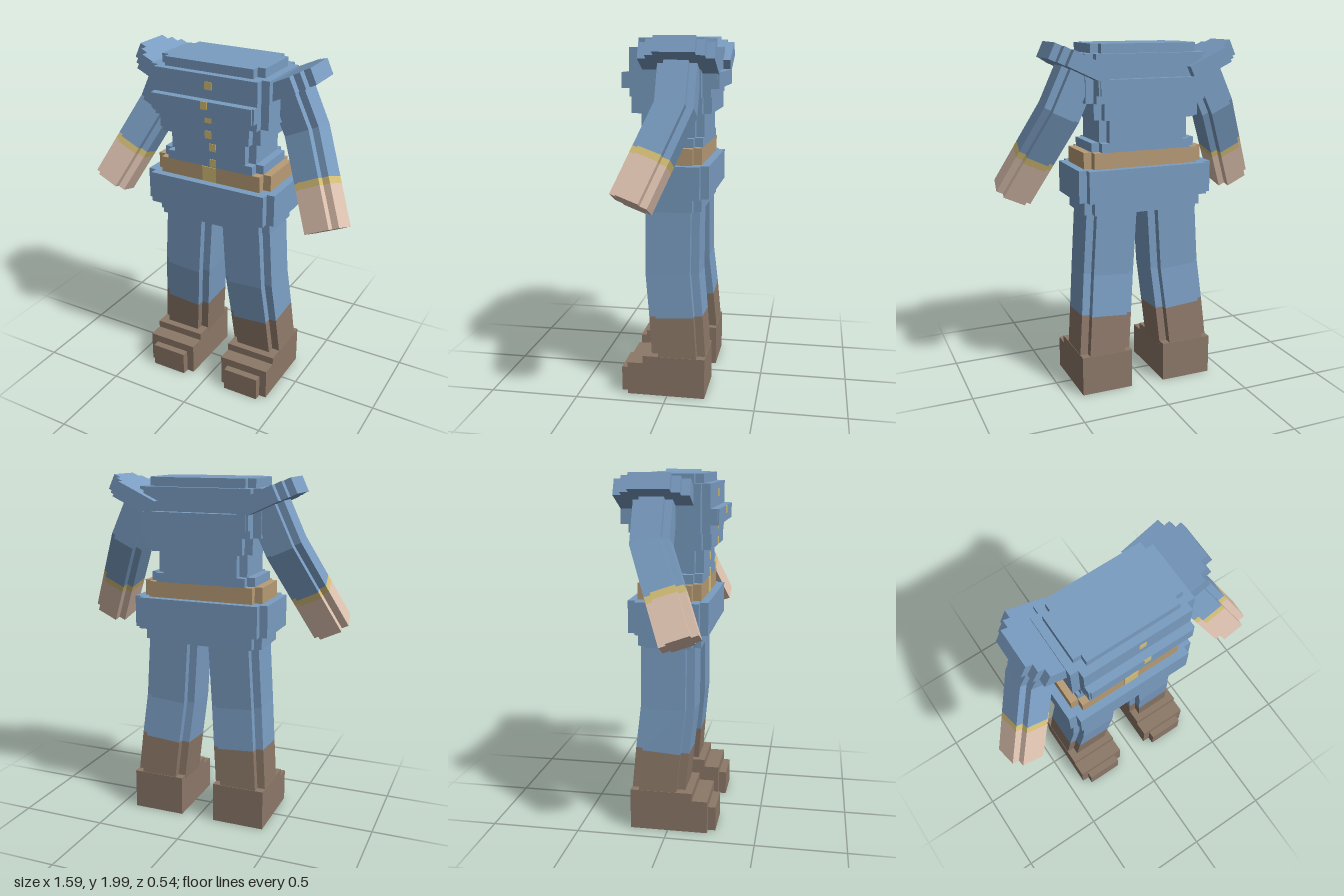
import * as THREE from 'three';

const V = (x, y, z) => new THREE.Vector3(x, y, z);
const mat = (name, color) => {
  const m = new THREE.MeshStandardMaterial({ color });
  m.name = name;
  return m;
};

// A cross-section: a rectangle with square notched corners, lying in the plane of u and v.
const section = (c, w, d, u = V(1, 0, 0), v = V(0, 0, 1), n = 0.045) => {
  const quarter = [[w, d - n], [w - n, d - n], [w - n, d]];
  const flip = (sx, sy) => quarter.map(([a, b]) => [a * sx, b * sy]);
  const outline = [...flip(1, 1), ...flip(-1, 1).reverse(), ...flip(-1, -1), ...flip(1, -1).reverse()];
  return { c, u, v, pts: outline.map(([a, b]) => c.clone().addScaledVector(u, a).addScaledVector(v, b)) };
};

// Solid between two cross-sections, with flat caps.
function segment(name, material, a, b) {
  const along = b.c.clone().sub(a.c);
  if (a.u.clone().cross(a.v).dot(along) < 0) [a, b] = [b, a];
  const pos = [];
  const tri = (...p) => p.forEach((q) => pos.push(q.x, q.y, q.z));
  const count = a.pts.length;
  for (let i = 0; i < count; i++) {
    const j = (i + 1) % count;
    tri(a.pts[i], a.pts[j], b.pts[j]);
    tri(a.pts[i], b.pts[j], b.pts[i]);
    tri(b.c, b.pts[i], b.pts[j]);
    tri(a.c, a.pts[j], a.pts[i]);
  }
  const g = new THREE.BufferGeometry();
  g.setAttribute('position', new THREE.Float32BufferAttribute(pos, 3));
  g.computeVertexNormals();
  const mesh = new THREE.Mesh(g, material);
  mesh.name = name;
  return mesh;
}

function box(name, material, x0, x1, y0, y1, z0, z1) {
  const mesh = new THREE.Mesh(new THREE.BoxGeometry(x1 - x0, y1 - y0, z1 - z0), material);
  mesh.position.set((x0 + x1) / 2, (y0 + y1) / 2, (z0 + z1) / 2);
  mesh.name = name;
  return mesh;
}

export function createModel() {
  const blue = mat('coat blue', 0x7a9dc2);
  const brown = mat('boot brown', 0x8c7868);
  const tan = mat('belt tan', 0xb89c76);
  const gold = mat('trim gold', 0xd6c078);
  const skin = mat('skin', 0xdfc3b1);
  const root = new THREE.Group();
  root.name = 'uniformedBody';

  // Torso: stacked notched slabs [name, y0, y1, half width, half depth]
  const torso = new THREE.Group();
  torso.name = 'torso';
  [
    ['coatHem', 1.05, 1.13, 0.355, 0.175, blue],
    ['hips', 1.13, 1.31, 0.4, 0.22, blue],
    ['belt', 1.31, 1.4, 0.355, 0.175, tan],
    ['lowerWaist', 1.4, 1.45, 0.31, 0.175, blue],
    ['waist', 1.45, 1.58, 0.265, 0.175, blue],
    ['ribs', 1.58, 1.67, 0.31, 0.22, blue],
    ['chest', 1.67, 1.93, 0.355, 0.22, blue],
    ['chestRidge', 1.715, 1.8, 0.31, 0.265, blue, 0.01],
    ['neckTop', 1.93, 1.98, 0.31, 0.178, blue],
  ].forEach(([name, y0, y1, w, d, m, n]) => {
    const at = (y) => section(V(-0.003, y, -0.003), w, d, undefined, undefined, n);
    torso.add(segment(name, m, at(y0), at(y1)));
  });

  // Buttons follow the depth of the slab behind them
  [[1.85, 0.217], [1.757, 0.262], [1.67, 0.217], [1.583, 0.217], [1.493, 0.172], [1.403, 0.172]].forEach(([y, z]) =>
    torso.add(box('button', gold, 0, 0.041, y, y + 0.043, z - 0.045, z + 0.003)));
  torso.add(box('buckle', gold, -0.045, 0.041, 1.312, 1.398, 0.13, 0.176));
  root.add(torso);

  for (const s of [-1, 1]) {
    const side = s < 0 ? 'right' : 'left';

    // Arm: upper arm straight down the shoulder tilt, forearm bent forward
    const arm = new THREE.Group();
    arm.name = side + 'Arm';
    const u = V(-0.905 * s, -0.425, 0);
    const shoulder = V(0.35 * s, 1.865, -0.065);
    const elbow = V(0.465 * s, 1.62, -0.065);
    const tip = V(0.69 * s, 1.16, 0.125);
    const fore = tip.clone().sub(elbow).normalize();
    const v = u.clone().cross(fore).normalize();
    if (v.z < 0) v.negate();
    const straight = V(0, 0, 1);
    const bend = v.clone().add(straight).normalize();
    const ring = (c, dir) => section(c, 0.105, 0.105, u, dir, 0.04);
    const down = (t) => ring(elbow.clone().lerp(tip, t), v);
    const elbowRing = ring(elbow, bend);
    arm.add(
      segment('upperArm', blue, ring(shoulder, straight), elbowRing),
      segment('forearm', blue, elbowRing, down(0.5)),
      segment('cuffBand', gold, down(0.5), down(0.57)),
      segment('hand', skin, down(0.57), down(1)),
    );

    // Shoulder cap: stepped disc set square to the arm
    const steps = [[0.2, 0.11], [0.16, 0.11], [0.16, 0.155], [0.12, 0.155], [0.12, 0.2]];
    const flip = (sx, sy) => steps.map(([a, b]) => new THREE.Vector2(a * sx, b * sy));
    const disc = new THREE.Shape([...flip(1, 1), ...flip(-1, 1).reverse(), ...flip(-1, -1), ...flip(1, -1).reverse()]);
    const cap = new THREE.Mesh(new THREE.ExtrudeGeometry(disc, { depth: 0.09, bevelEnabled: false }), blue);
    cap.geometry.translate(0, 0, -0.045);
    cap.applyMatrix4(new THREE.Matrix4().makeBasis(u, straight, u.clone().cross(straight)).setPosition(shoulder));
    cap.name = 'shoulderCap';
    arm.add(cap);
    root.add(arm);

    // Leg: thigh, shin and boot shaft, slightly splayed and swept back
    const leg = new THREE.Group();
    leg.name = side + 'Leg';
    const tilt = (k, q) => [V(1, k * s, 0).normalize(), V(0, -q, 1).normalize()];
    const legRing = (x, y, z, k, q) => section(V(x * s, y, z), 0.152, 0.152, ...tilt(k, q));
    const rings = [
      legRing(0.184, 1.07, -0.015, 0.0, 0),
      legRing(0.208, 0.69, -0.015, 0.07, 0.03),
      legRing(0.231, 0.445, -0.04, 0.08, 0.07),
      legRing(0.253, 0.2, -0.06, 0.05, 0.04),
    ];
    [['thigh', blue], ['shin', blue], ['bootShaft', brown]].forEach(([name, m], i) =>
      leg.add(segment(name, m, rings[i], rings[i + 1])));

    // Boot: three stepped blocks
    const boot = (name, x0, x1, y1, z1) => {
      const [a, b] = s > 0 ? [x0, x1] : [-x1, -x0];
      leg.add(box(name, brown, a, b, 0, y1, -0.213, z1));
    };
    boot('bootHeel', 0.1, 0.405, 0.232, 0.138);
    boot('bootFoot', 0.1, 0.405, 0.188, 0.225);
    boot('bootToe', 0.145, 0.362, 0.14, 0.268);
    root.add(leg);
  }
  return root;
}
